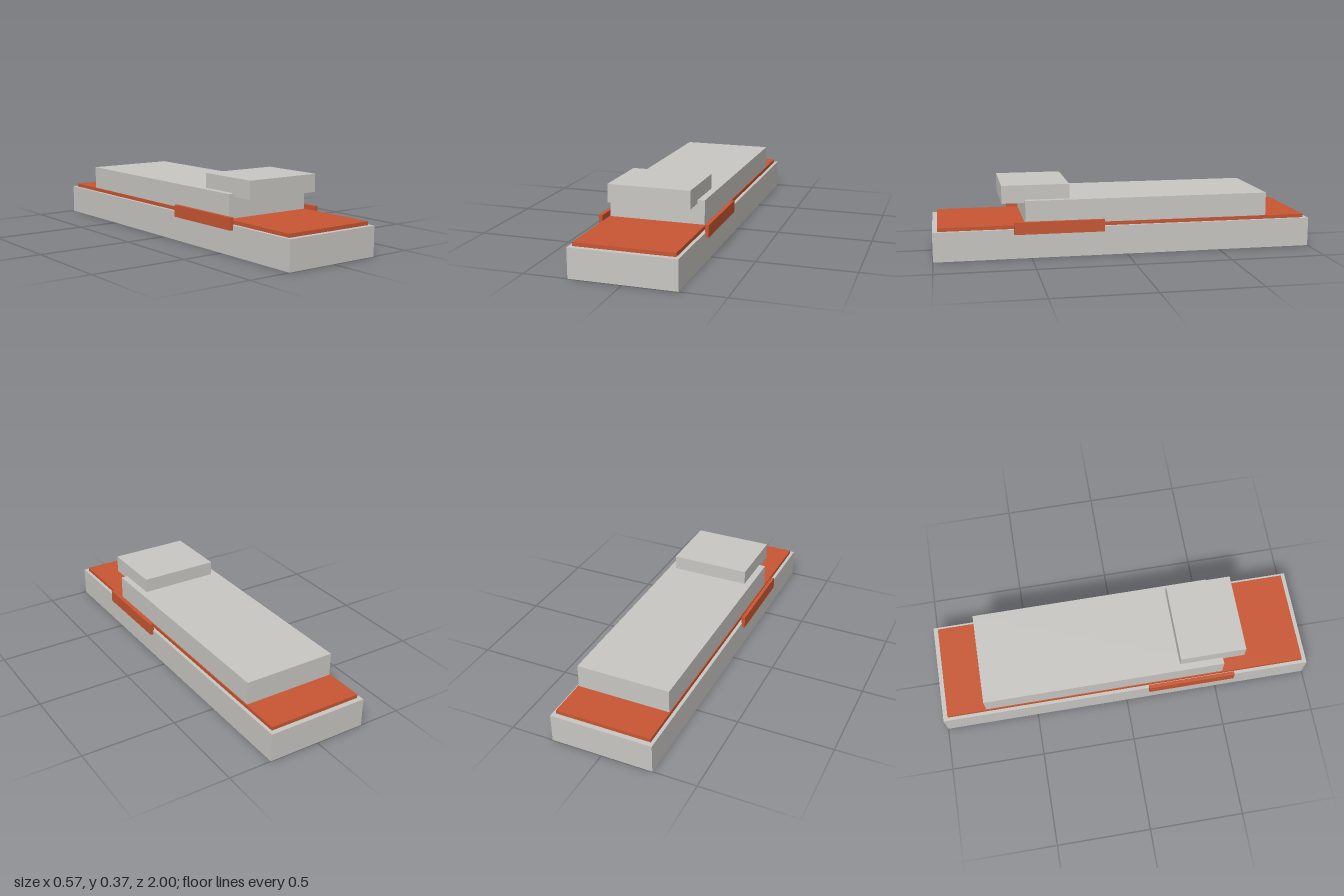
import * as THREE from 'three';

export function createModel() {
  const group = new THREE.Group();
  const grey = new THREE.MeshStandardMaterial({ name: 'warm grey', color: 0xc9c7c3 });
  const orange = new THREE.MeshStandardMaterial({ name: 'burnt orange', color: 0xc85632 });

  // Box given by its lower and upper limits on each axis
  function block(name, material, [x0, x1], [y0, y1], [z0, z1]) {
    const mesh = new THREE.Mesh(new THREE.BoxGeometry(x1 - x0, y1 - y0, z1 - z0), material);
    mesh.position.set((x0 + x1) / 2, (y0 + y1) / 2, (z0 + z1) / 2);
    mesh.name = name;
    group.add(mesh);
  }

  // Stacked body
  block('base', grey, [-0.271, 0.271], [0, 0.153], [-1, 1]);
  block('deckPlate', orange, [-0.253, 0.253], [0.153, 0.172], [-0.974, 0.974]);
  block('upperSlab', grey, [-0.248, 0.248], [0.172, 0.295], [-0.763, 0.528]);
  block('topBlock', grey, [-0.212, 0.212], [0.278, 0.371], [0.295, 0.646]);

  // Side rails
  block('leftRail', orange, [0.267, 0.287], [0.128, 0.191], [0.121, 0.589]);
  block('rightRail', orange, [-0.287, -0.267], [0.128, 0.191], [0.121, 0.589]);

  return group;
}
